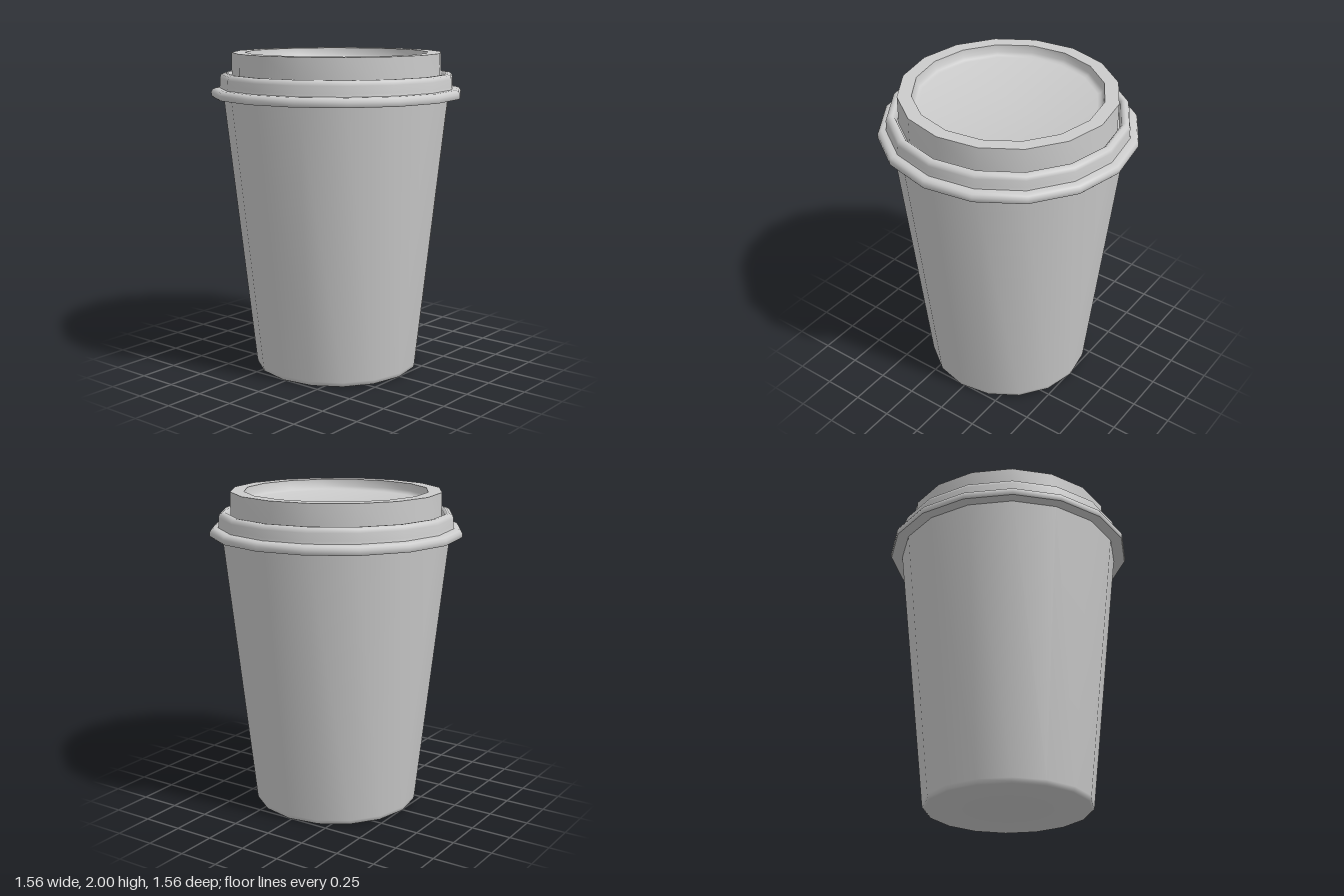
import * as THREE from 'three';
import { toCreasedNormals } from 'three/addons/utils/BufferGeometryUtils.js';

const SIDES = 16;
const TWIST = -0.032; // the sixteen-sided outline is turned slightly about y

// Lathe a profile of [radius, height] pairs, listed from the bottom up the outside
function turned(name, profile, material) {
  const points = profile.map(([r, y]) => new THREE.Vector2(r, y));
  const lathe = new THREE.LatheGeometry(points, SIDES, TWIST);
  const mesh = new THREE.Mesh(toCreasedNormals(lathe, THREE.MathUtils.degToRad(50)), material);
  mesh.name = name;
  return mesh;
}

export function createModel() {
  const material = new THREE.MeshStandardMaterial({ color: 0xcccccc, side: THREE.DoubleSide });
  const group = new THREE.Group();
  group.name = 'takeawayCup';

  // Tapered paper cup with a small rounded foot and a closed base
  group.add(turned('cup', [
    [0, 0], [0.505, 0], [0.516, 0.008], [0.52, 0.03], [0.706, 1.74],
  ], material));

  // Lid: flared rim, rounded band, groove, raised wall and sunken top
  group.add(turned('lid', [
    [0.70, 1.728], [0.776, 1.728], [0.781, 1.735], [0.781, 1.758],
    [0.772, 1.775], [0.755, 1.782], [0.73, 1.784],
    [0.726, 1.80], [0.726, 1.845], [0.719, 1.866], [0.70, 1.875],
    [0.685, 1.875], [0.672, 1.862], [0.665, 1.825], [0.652, 1.825],
    [0.652, 2], [0.568, 2],
    [0.562, 1.955], [0.55, 1.938], [0.53, 1.932], [0, 1.932],
  ], material));

  return group;
}
